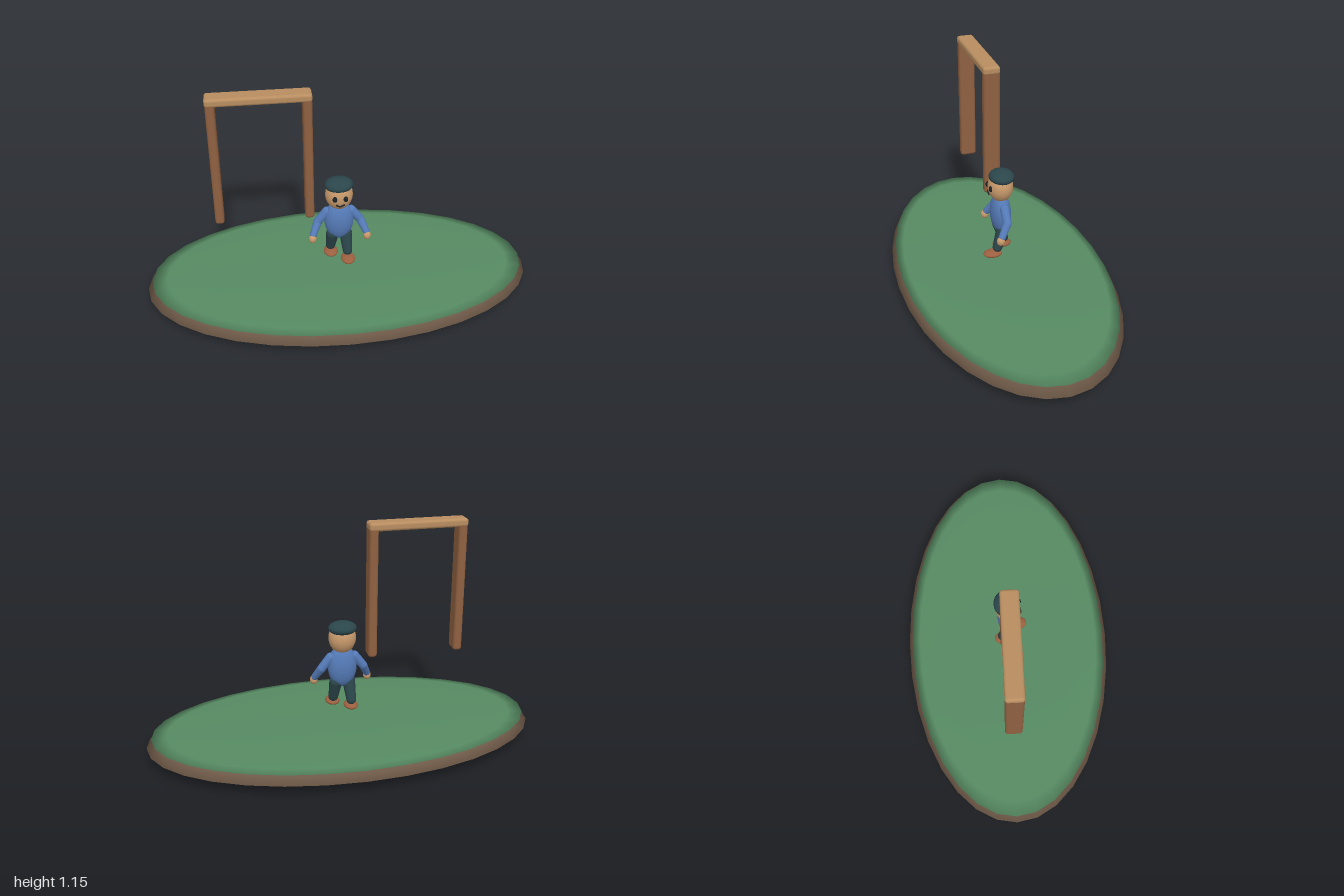
import * as THREE from 'three';
import { RoundedBoxGeometry } from 'three/addons/geometries/RoundedBoxGeometry.js';

const mat = (name, color) => Object.assign(new THREE.MeshStandardMaterial({ color }), { name });

export function createModel() {
  const earth = mat('earth brown', 0x6f5a48);
  const grass = mat('grass green', 0x568a62);
  const wood = mat('post wood', 0x8f6040);
  const paleWood = mat('beam wood', 0xb88d60);
  const blue = mat('sweater blue', 0x557bb8);
  const teal = mat('dark teal', 0x2b464b);
  const skin = mat('skin', 0xc89a6c);
  const leather = mat('shoe leather', 0x9c6040);
  const dark = mat('face dark', 0x1c2426);

  const model = new THREE.Group();
  model.name = 'figureAndGate';

  const add = (parent, name, geometry, material, pos = [0, 0, 0]) => {
    const mesh = new THREE.Mesh(geometry, material);
    mesh.name = name;
    mesh.position.set(...pos);
    parent.add(mesh);
    return mesh;
  };
  const ellipsoid = (parent, name, material, pos, radii, w = 24, h = 16) => {
    const geometry = new THREE.SphereGeometry(1, w, h).scale(...radii);
    return add(parent, name, geometry, material, pos);
  };
  // tapered limb along a line, with ball ends
  const limb = (parent, name, material, a, b, ra, rb) => {
    const from = new THREE.Vector3(...a), to = new THREE.Vector3(...b);
    const dir = to.clone().sub(from);
    const g = new THREE.Group();
    g.name = name;
    parent.add(g);
    const rod = add(g, name + 'Rod', new THREE.CylinderGeometry(rb, ra, dir.length(), 16, 1, true), material);
    rod.position.copy(from).addScaledVector(dir, 0.5);
    rod.quaternion.setFromUnitVectors(new THREE.Vector3(0, 1, 0), dir.normalize());
    ellipsoid(g, name + 'Top', material, a, [ra, ra, ra], 16, 12);
    ellipsoid(g, name + 'End', material, b, [rb, rb, rb], 16, 12);
  };

  // oval ground: earth lens with a grass lens on top
  const ground = new THREE.Group();
  ground.name = 'ground';
  model.add(ground);
  ellipsoid(ground, 'earth', earth, [0, 0.059, 0], [1, 0.059, 0.545], 32, 8);
  ellipsoid(ground, 'grass', grass, [0, 0.105, 0], [0.975, 0.017, 0.523], 32, 8);

  // floating gate
  const gate = new THREE.Group();
  gate.name = 'gate';
  model.add(gate);
  for (const [name, x] of [['outerPost', -0.599], ['innerPost', -0.15]])
    add(gate, name, new RoundedBoxGeometry(0.045, 0.67, 0.086, 3, 0.015), wood, [x, 0.797, 0]);
  add(gate, 'beam', new RoundedBoxGeometry(0.497, 0.042, 0.087, 3, 0.014), paleWood, [-0.375, 1.132, 0]);

  // walking figure
  const figure = new THREE.Group();
  figure.name = 'figure';
  model.add(figure);
  ellipsoid(figure, 'torso', blue, [0, 0.417, 0], [0.075, 0.113, 0.052]);
  ellipsoid(figure, 'head', skin, [0, 0.57, 0], [0.07, 0.081, 0.064]);
  ellipsoid(figure, 'cap', teal, [0, 0.623, -0.006], [0.072, 0.034, 0.064]);

  for (const [side, s] of [['left', 1], ['right', -1]]) {
    // bent arm and hand
    const shoulder = [s * 0.062, 0.468, -0.003];
    const elbow = [s * 0.108, 0.41, -0.002];
    const wrist = [s * 0.136, 0.352, 0.034];
    limb(figure, side + 'UpperArm', blue, shoulder, elbow, 0.024, 0.022);
    limb(figure, side + 'Forearm', blue, elbow, wrist, 0.022, 0.018);
    ellipsoid(figure, side + 'Hand', skin, [s * 0.14, 0.334, 0.042], [0.02, 0.024, 0.021], 16, 12);

    // striding leg and shoe, left one forward
    limb(figure, side + 'Leg', teal, [s * 0.034, 0.33, 0], [s * 0.041, 0.235, s * 0.029], 0.033, 0.025);
    ellipsoid(figure, side + 'Shoe', leather, [s * 0.041, 0.203, s > 0 ? 0.054 : -0.02],
      [0.037, 0.017, 0.05], 20, 12);

    // eye
    ellipsoid(figure, side + 'Eye', dark, [s * 0.027, 0.575, 0.059], [0.012, 0.016, 0.009], 16, 12);
  }

  // smile
  const smile = new THREE.CatmullRomCurve3([
    new THREE.Vector3(-0.022, 0.544, 0.06),
    new THREE.Vector3(0, 0.533, 0.061),
    new THREE.Vector3(0.022, 0.544, 0.06),
  ]);
  add(figure, 'smile', new THREE.TubeGeometry(smile, 12, 0.004, 8), dark);

  return model;
}
